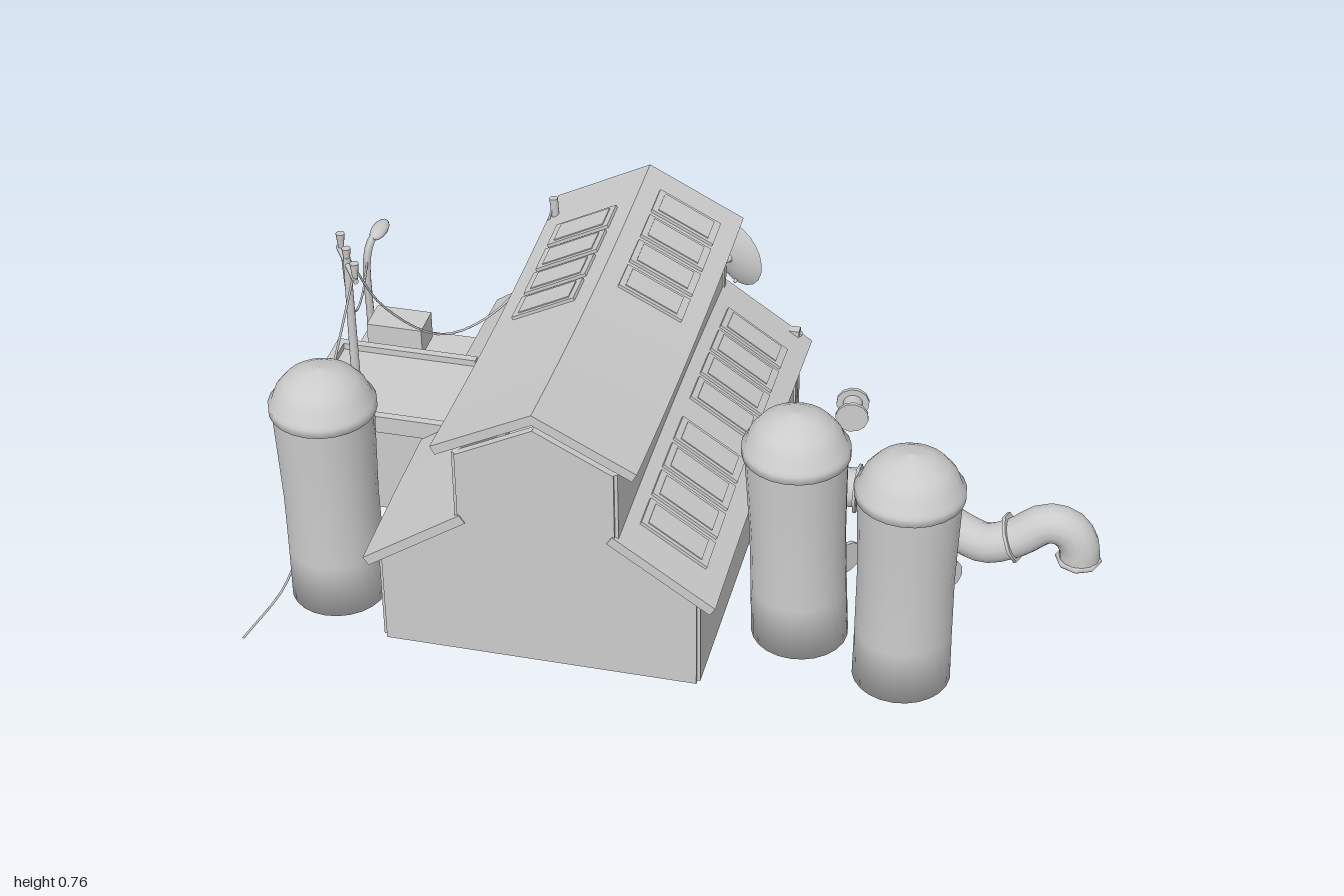
import * as THREE from 'three';

const grey = new THREE.MeshStandardMaterial({ color: 0xcccccc });
const thin = new THREE.MeshStandardMaterial({ color: 0xcccccc, side: THREE.DoubleSide });
const UP = new THREE.Vector3(0, 1, 0);
const V = (x, y, z) => new THREE.Vector3(x, y, z);

export function createModel() {
  const root = new THREE.Group();
  const add = (name, geo, x = 0, y = 0, z = 0, mat = grey, parent = root) => {
    const m = new THREE.Mesh(geo, mat);
    m.name = name;
    m.position.set(x, y, z);
    parent.add(m);
    return m;
  };
  // box given by its limits
  const box = (name, x0, x1, y0, y1, z0, z1, parent = root) =>
    add(name, new THREE.BoxGeometry(x1 - x0, y1 - y0, z1 - z0), (x0 + x1) / 2, (y0 + y1) / 2, (z0 + z1) / 2, grey, parent);
  // round bar between two points
  const rod = (name, a, b, r, r2 = r, n = 10) => {
    const m = add(name, new THREE.CylinderGeometry(r2, r, a.distanceTo(b), n));
    m.position.copy(a).lerp(b, 0.5);
    m.quaternion.setFromUnitVectors(UP, b.clone().sub(a).normalize());
    return m;
  };
  // flat bar lying on the back wall, between two points in x and y
  const strip = (name, x0, y0, x1, y1, z, w = 0.016, d = 0.014) => {
    const m = add(name, new THREE.BoxGeometry(Math.hypot(x1 - x0, y1 - y0), w, d), (x0 + x1) / 2, (y0 + y1) / 2, z);
    m.rotation.z = Math.atan2(y1 - y0, x1 - x0);
  };
  const cable = (name, pts, r = 0.003) =>
    add(name, new THREE.TubeGeometry(new THREE.CatmullRomCurve3(pts), 24, r, 5));

  // ---- barn walls ----
  const CX = -0.235;
  const profile = [[-0.61, 0.06], [0.14, 0.06], [0.14, 0.29], [-0.05, 0.425], [-0.05, 0.62], [CX, 0.715], [-0.42, 0.62], [-0.42, 0.425], [-0.61, 0.29]];
  const wall = (holes) => {
    const s = new THREE.Shape(profile.map(p => new THREE.Vector2(...p)));
    for (const [x0, x1, y0, y1] of holes)
      s.holes.push(new THREE.Path([[x0, y0], [x0, y1], [x1, y1], [x1, y0]].map(p => new THREE.Vector2(...p))));
    return new THREE.ExtrudeGeometry(s, { depth: 0.02, bevelEnabled: false });
  };
  add('frontWall', wall([]), 0, 0, 0.517);
  add('backWall', wall([[-0.39, -0.03, 0.065, 0.33], [-0.34, -0.13, 0.47, 0.6]]), 0, 0, -0.555);
  box('floor', -0.61, 0.14, 0.055, 0.065, -0.555, 0.537);
  for (const s of [-1, 1]) {
    const xl = CX + s * 0.375, xu = CX + s * 0.185;
    box('lowerSideWall', xl - 0.008, xl + 0.008, 0.06, 0.3, -0.55, 0.53);
    box('upperSideWall', xu - 0.008, xu + 0.008, 0.4, 0.62, -0.55, 0.53);
    box('cornerPost', xl - 0.013, xl + 0.013, 0.06, 0.3, -0.567, -0.54);
    box('upperCornerPost', xu - 0.012, xu + 0.012, 0.43, 0.62, -0.565, -0.545);
  }

  // ---- roofs: slanted slabs that bow along the ridge ----
  const slab = (name, a, b, z0, z1, t, bow) => {
    const len = Math.hypot(b[0] - a[0], b[1] - a[1]);
    const g = new THREE.BoxGeometry(len, t, z1 - z0, 1, 1, 8);
    g.translate(0, -t / 2, 0);
    const flip = b[0] < a[0] ? -1 : 1;
    g.rotateZ(flip * Math.atan2(b[1] - a[1], Math.abs(b[0] - a[0])));
    g.translate((a[0] + b[0]) / 2, (a[1] + b[1]) / 2, (z0 + z1) / 2);
    const p = g.attributes.position;
    for (let i = 0; i < p.count; i++) p.setY(i, p.getY(i) + bow * (1 - (p.getZ(i) / 0.55) ** 2));
    g.computeVertexNormals();
    return add(name, g);
  };
  const roof = (side, level) => {
    const [a, b] = level === 'upper'
      ? [[CX, 0.76], [CX + side * 0.24, 0.637]]
      : [[CX + side * 0.18, 0.45], [CX + side * 0.42, 0.287]];
    const bow = level === 'upper' ? -0.02 : 0.015;
    slab(level + 'Roof', a, b, level === 'upper' ? -0.567 : -0.583, 0.54, 0.024, bow);
    const at = f => [a[0] + (b[0] - a[0]) * f, a[1] + (b[1] - a[1]) * f + 0.009];
    return z => {
      slab('skylight', at(0.19), at(0.83), z - 0.09, z, 0.014, bow);
      slab('skylightGlass', at(0.25).map((v, i) => v + i * 0.003), at(0.77).map((v, i) => v + i * 0.003), z - 0.08, z - 0.01, 0.006, bow);
    };
  };
  const upperRight = roof(1, 'upper'), upperLeft = roof(-1, 'upper'), lowerRight = roof(1, 'lower');
  roof(-1, 'lower');
  for (let i = 0; i < 4; i++) {
    upperRight(-0.07 - i * 0.11);
    upperLeft(0.01 - i * 0.107);
    lowerRight(-0.052 - i * 0.109);
    lowerRight(0.445 - i * 0.108);
  }

  // ---- back facade: window, canopy, barn doors, stacked crates ----
  const zf = -0.562;
  for (const y of [0.465, 0.535, 0.605]) strip('windowRail', -0.35, y, -0.12, y, zf, y === 0.535 ? 0.01 : 0.018);
  for (const x of [-0.345, -0.235, -0.125]) strip('windowStile', x, 0.46, x, 0.61, zf, x === -0.235 ? 0.01 : 0.018);
  box('windowGlass', -0.34, -0.13, 0.47, 0.6, -0.547, -0.542);
  for (const s of [-1, 1]) {
    slab('doorCanopy', [CX + 0.02, 0.435], [CX + 0.02 + s * 0.215, 0.355], -0.59, -0.55, 0.018, 0);
    const x0 = s < 0 ? -0.585 : -0.02, x1 = x0 + 0.175;
    box('barnDoor', x0, x1, 0.065, 0.325, -0.568, -0.555);
    for (const y of [0.073, 0.317]) strip('doorRail', x0, y, x1, y, -0.573);
    for (const x of [x0 + 0.008, x1 - 0.008]) strip('doorStile', x, 0.07, x, 0.32, -0.573);
    strip('doorBrace', x0, 0.075, x1, 0.315, -0.572);
    strip('doorBrace', x0, 0.315, x1, 0.075, -0.571);
  }
  strip('doorHeader', -0.42, 0.338, 0, 0.338, zf, 0.02);
  for (let i = 0; i < 4; i++) box('crate', -0.19 + 0.01 * (i % 2), -0.06, 0.07 + i * 0.045, 0.11 + i * 0.045, -0.53, -0.42);

  // ---- silos ----
  const silo = (x, z, h, lean) => {
    const body = [[0, 0.06], [0.115, 0.06], [0.113, 0.2], [0.112, 0.35], [0.116, 0.48], [0.12, h]];
    const cap = [[0.115, h - 0.012], [0.126, h - 0.012], [0.126, h + 0.008], [0.118, h + 0.012], [0.108, h + 0.04], [0.085, h + 0.068], [0.05, h + 0.088], [0, h + 0.098]];
    [['siloBody', body], ['siloDome', cap]].forEach(([n, pts]) => {
      const g = new THREE.LatheGeometry(pts.map(p => new THREE.Vector2(...p)), 24);
      const p = g.attributes.position;
      for (let i = 0; i < p.count; i++) p.setX(i, p.getX(i) + lean * (0.6 - p.getY(i)));
      add(n, g, x, 0, z, thin);
    });
  };
  silo(-0.782, 0.385, 0.6, 0.01);
  silo(0.315, 0.29, 0.585, 0.035);
  silo(0.595, 0.39, 0.588, 0);

  // ---- drain pipe with collars ----
  const path = [V(0.125, 0.072, -0.27), V(0.3, 0.072, -0.27), V(0.46, 0.072, -0.27), V(0.53, 0.07, -0.25), V(0.65, 0.07, -0.155),
    V(0.72, 0.075, -0.12), V(0.79, 0.105, -0.12), V(0.86, 0.15, -0.132), V(0.91, 0.14, -0.137), V(0.94, 0.1, -0.138), V(0.945, 0.05, -0.138)];
  add('pipe', new THREE.TubeGeometry(new THREE.CatmullRomCurve3(path), 40, 0.05, 14), 0, 0, 0, thin);
  const collar = (p, d, w = 0.008) => rod('pipeCollar', p, p.clone().addScaledVector(d.normalize(), w), 0.063, 0.063, 8);
  collar(V(0.365, 0.072, -0.27), V(1, 0, 0));
  collar(V(0.58, 0.068, -0.21), V(0.78, 0, 0.6));
  collar(V(0.775, 0.1, -0.12), V(1, 0.4, 0));
  const rim = add('pipeMouthRim', new THREE.TorusGeometry(0.05, 0.008, 6, 8), 0.943, 0.053, -0.138);
  rim.rotation.x = Math.PI / 2;

  // ---- cable reels ----
  for (const [x, z, a] of [[0.3, -0.56, 0.15], [0.375, 0.03, 0.9], [0.625, 0.04, 0.75]]) {
    const d = V(Math.sin(a), 0, Math.cos(a)), c = V(x, 0.103, z);
    const at = t => c.clone().addScaledVector(d, t);
    rod('reelCore', at(-0.035), at(0.035), 0.026, 0.026, 12);
    for (const s of [-1, 1]) rod('reelFlange', at(s * 0.028), at(s * 0.038), 0.043, 0.043, 12);
  }

  // ---- dish antenna at the gable corner ----
  const aim = V(0.54, 0.05, -0.84).normalize();
  const dishAt = V(-0.025, 0.53, -0.545);
  const dish = add('dish', new THREE.LatheGeometry([[0, 0], [0.035, 0.004], [0.065, 0.013], [0.088, 0.026]].map(p => new THREE.Vector2(...p)), 20), 0, 0, 0, thin);
  dish.position.copy(dishAt);
  dish.quaternion.setFromUnitVectors(UP, aim);
  const feed = dishAt.clone().addScaledVector(aim, 0.065).add(V(0, -0.045, 0));
  rod('dishArm', dishAt.clone().add(V(0.01, -0.08, -0.012)), feed, 0.004);
  rod('dishFeed', feed, feed.clone().add(V(0, 0.022, 0)), 0.01);
  rod('dishMount', V(-0.06, 0.53, -0.5), dishAt, 0.01);

  // ---- annex: low back part and raised front part ----
  box('annexLow', -0.945, -0.6, 0.06, 0.225, -0.455, -0.2);
  box('annexLowRoof', -0.965, -0.6, 0.222, 0.24, -0.465, -0.2);
  box('annexHigh', -0.945, -0.6, 0.06, 0.31, -0.21, 0.06);
  box('annexHighRoof', -0.965, -0.6, 0.305, 0.335, -0.225, 0.08);
  for (const [x0, x1, z0, z1] of [[-0.965, -0.6, -0.225, -0.205], [-0.965, -0.6, 0.06, 0.08], [-0.965, -0.945, -0.205, 0.06]])
    box('parapet', x0, x1, 0.33, 0.352, z0, z1);
  box('meterBox', -0.988, -0.94, 0.08, 0.17, -0.065, 0.02);
  box('annexDoor', -0.93, -0.86, 0.06, 0.19, -0.463, -0.45);
  box('serviceWindow', -0.84, -0.69, 0.14, 0.2, -0.462, -0.45);
  const awning = add('awning', new THREE.BoxGeometry(0.16, 0.008, 0.055), -0.77, 0.2, -0.476);
  awning.rotation.x = -0.5;
  box('counter', -0.845, -0.695, 0.125, 0.135, -0.5, -0.45);
  for (const x of [-0.83, -0.71]) box('counterLeg', x - 0.005, x + 0.005, 0.06, 0.125, -0.495, -0.485);
  // cooling unit with two fans
  box('coolingUnit', -0.93, -0.785, 0.25, 0.325, -0.43, -0.34);
  for (const x of [-0.895, -0.82]) {
    add('coolingFan', new THREE.TorusGeometry(0.026, 0.005, 6, 14), x, 0.288, -0.432);
    rod('fanHub', V(x, 0.288, -0.425), V(x, 0.288, -0.437), 0.01);
    box('unitFoot', x - 0.01, x + 0.01, 0.235, 0.255, -0.42, -0.35);
  }

  // ---- street lamp ----
  box('lampBase', -0.998, -0.945, 0.055, 0.075, -0.5, -0.445);
  box('lampPlinth', -0.985, -0.95, 0.07, 0.12, -0.488, -0.455);
  cable('lampPost', [V(-0.968, 0.07, -0.47), V(-0.965, 0.25, -0.47), V(-0.965, 0.42, -0.47), V(-0.96, 0.47, -0.485), V(-0.955, 0.485, -0.53)], 0.011);
  const head = add('lampHead', new THREE.SphereGeometry(1, 12, 8), -0.952, 0.482, -0.545);
  head.scale.set(0.022, 0.014, 0.05);

  // ---- utility pole and cables ----
  rod('utilityPole', V(-0.845, 0.33, -0.01), V(-0.845, 0.745, -0.01), 0.012, 0.009);
  const tips = [V(-0.88, 0.75, -0.07), V(-0.845, 0.75, -0.01), V(-0.805, 0.75, 0.05)];
  rod('crossArm', V(-0.89, 0.725, -0.08), V(-0.8, 0.725, 0.06), 0.007);
  for (const t of tips) rod('insulator', t.clone().add(V(0, -0.025, 0)), t.clone().add(V(0, 0.02, 0)), 0.006, 0.011);
  rod('roofInsulator', V(-0.455, 0.625, -0.47), V(-0.46, 0.69, -0.47), 0.009, 0.011);
  cable('cableToBarn', [V(-0.46, 0.675, -0.47), V(-0.5, 0.53, -0.42), V(-0.57, 0.43, -0.34), V(-0.68, 0.41, -0.22), V(-0.79, 0.55, -0.1), tips[1]]);
  cable('cableToGround', [tips[2], V(-0.86, 0.48, 0.12), V(-0.92, 0.2, 0.18), V(-0.92, 0.07, 0.28), V(-0.91, 0.055, 0.42), V(-0.945, 0.045, 0.61)]);
  cable('cableToLamp', [tips[0], V(-0.9, 0.55, -0.14), V(-0.93, 0.41, -0.27), V(-0.95, 0.39, -0.38), V(-0.963, 0.43, -0.465)]);
  return root;
}
